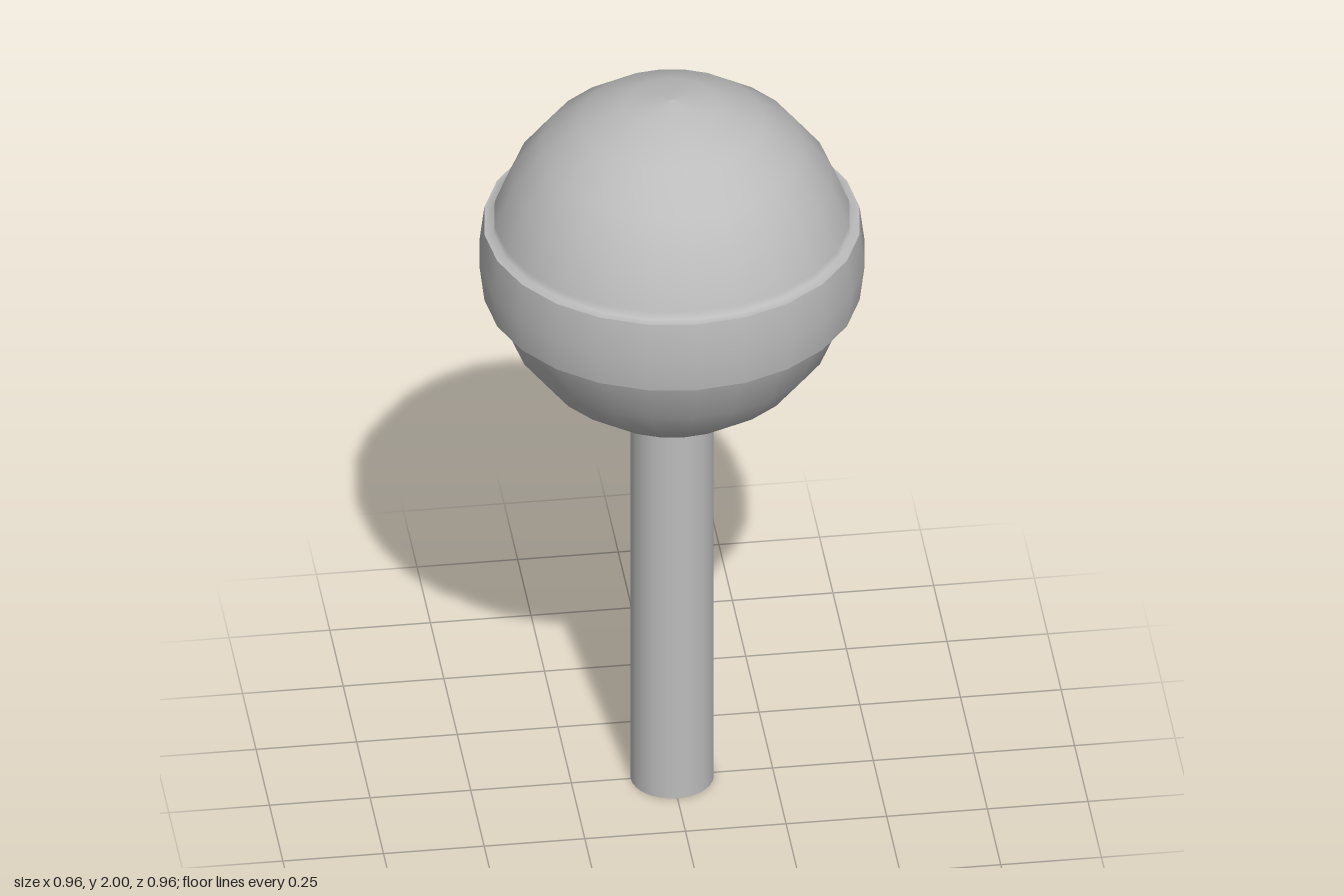
import * as THREE from 'three';

const SIDES = 24;
const CENTRE = 1.545;      // height of the ball's centre
const BALL = 0.455;        // ball radius
const BAND = 0.478;        // belt radius at its widest
const BAND_EDGE = 0.466;   // belt radius at its rims
const HALF = 0.097;        // half the belt's height
const INNER = 0.4425;      // ball radius where it meets the belt

export function createModel() {
  const model = new THREE.Group();
  model.name = 'ballOnPost';
  const grey = new THREE.MeshStandardMaterial({ color: 0xbcbcbc });
  grey.name = 'plain grey';

  const add = (name, geometry) => {
    const mesh = new THREE.Mesh(geometry, grey);
    mesh.name = name;
    model.add(mesh);
    return mesh;
  };
  const lathe = (pairs) =>
    new THREE.LatheGeometry(pairs.map(([r, y]) => new THREE.Vector2(r, y)), SIDES);

  // Post, ending inside the ball
  const post = add('post', new THREE.CylinderGeometry(0.103, 0.103, 1.15, 32));
  post.position.y = 0.575;

  // Half of the ball from the belt's ledge to the pole, in 15 degree rows
  const half = [[BAND_EDGE, HALF], [INNER, HALF]];
  for (let row = 1; row <= 6; row++) {
    const a = (row * Math.PI) / 12;
    half.push([row === 6 ? 0 : BALL * Math.cos(a), BALL * Math.sin(a)]);
  }
  add('upperBall', lathe(half.map(([r, y]) => [r, CENTRE + y])));
  add('lowerBall', lathe(half.map(([r, y]) => [r, CENTRE - y]).reverse()));

  // Belt around the middle, slightly bulged
  add('belt', lathe([
    [BAND_EDGE, CENTRE - HALF],
    [BAND, CENTRE],
    [BAND_EDGE, CENTRE + HALF],
  ]));

  return model;
}
